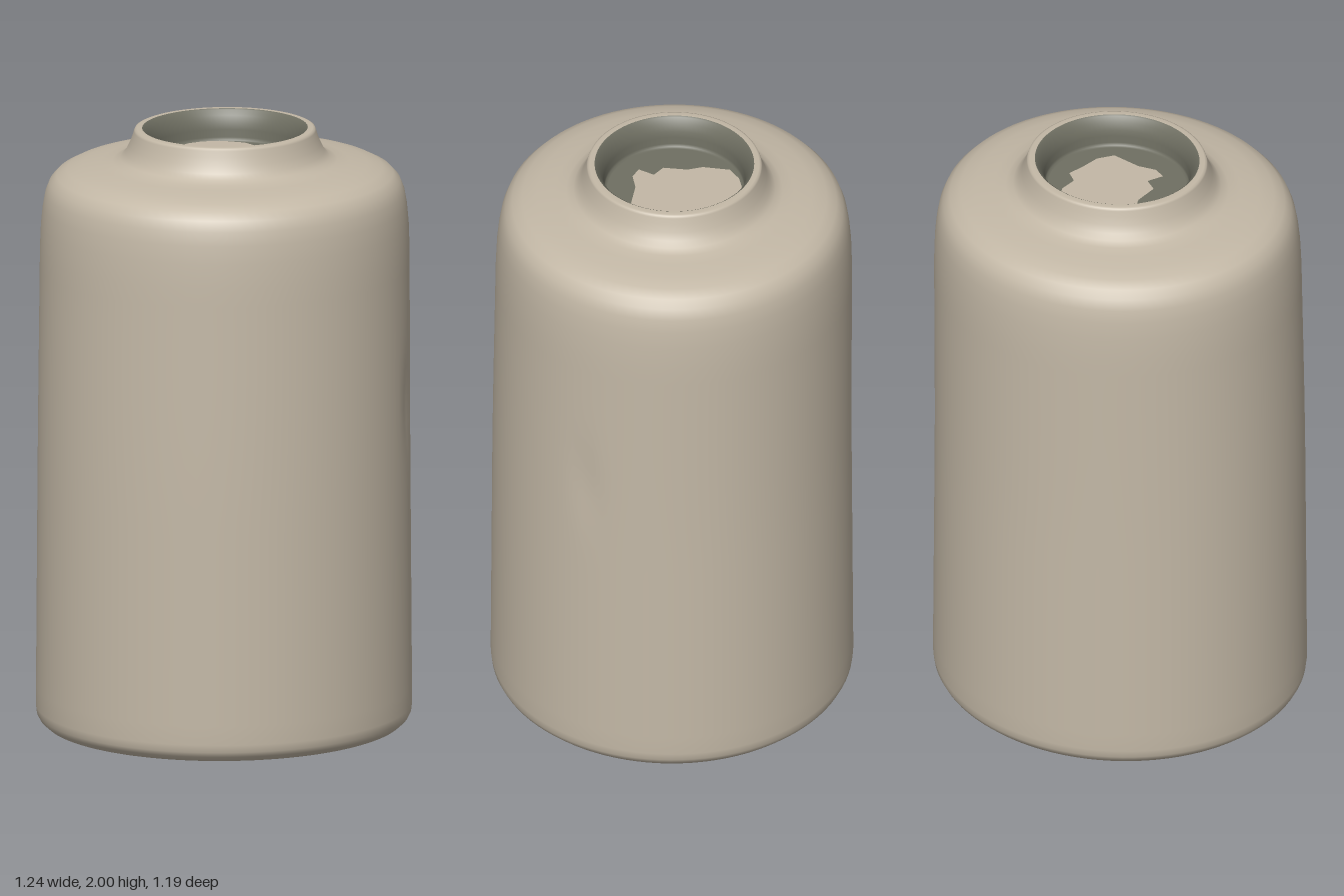
import * as THREE from 'three';
import { mergeVertices } from 'three/addons/utils/BufferGeometryUtils.js';

const clay = new THREE.MeshStandardMaterial({ color: 0xc3b8a6 });
clay.name = 'warm clay';
const grey = new THREE.MeshStandardMaterial({ color: 0x6f6f62 });
grey.name = 'olive grey';

// Slightly oval lathe whose top leans a little off centre, with a shallow dent in one side
function ovalLathe(profile, segments = 96) {
  const geo = new THREE.LatheGeometry(profile.map(([r, y]) => new THREE.Vector2(r, y)), segments);
  const pos = geo.attributes.position;
  for (let i = 0; i < pos.count; i++) {
    let x = pos.getX(i), z = pos.getZ(i);
    const y = pos.getY(i);
    const angle = Math.atan2(x, z);
    const dent = 0.015 * Math.exp(-(((angle - 1.08) / 0.07) ** 2) - ((y - 1.08) / 0.14) ** 2);
    const lean = THREE.MathUtils.smoothstep(y, 0.8, 1.95);
    x = x * (1 - dent) + 0.006 * lean;
    z = z * 0.96 * (1 - dent) - 0.008 * lean;
    pos.setXYZ(i, x, y, z);
  }
  geo.deleteAttribute('uv');
  geo.deleteAttribute('normal');
  const merged = mergeVertices(geo, 1e-5);
  merged.computeVertexNormals();
  return merged;
}

function addMesh(group, name, geometry, material) {
  const mesh = new THREE.Mesh(geometry, material);
  mesh.name = name;
  group.add(mesh);
}

export function createModel() {
  const group = new THREE.Group();
  group.name = 'jar';

  // Outer wall: recessed underside, foot, tall side, shoulder and neck
  const side = [];
  for (let i = 0; i <= 24; i++) {
    const t = i / 24;
    side.push([0.62 - 0.011 * t, 0.06 + 1.54 * t]);
  }
  addMesh(group, 'body', ovalLathe([
    [0, 0.03], [0.08, 0.028], [0.16, 0.018], [0.4, 0.016], [0.54, 0.014], [0.555, 0.01],
    [0.565, 0.001], [0.57, 0], [0.585, 0], [0.59, 0.002], [0.608, 0.018], [0.617, 0.035],
    ...side,
    [0.606, 1.68], [0.6, 1.74], [0.592, 1.785], [0.578, 1.82], [0.555, 1.845], [0.52, 1.863],
    [0.47, 1.876], [0.41, 1.884], [0.37, 1.891], [0.345, 1.902], [0.328, 1.92], [0.316, 1.945],
    [0.306, 1.97], [0.3, 1.99], [0.297, 1.997], [0.29, 2], [0.273, 2],
  ]), clay);

  // Grey lip and inside of the mouth, closed by a shallow floor
  addMesh(group, 'mouthInterior', ovalLathe([
    [0.273, 2], [0.268, 1.997], [0.255, 1.98], [0.245, 1.955], [0.242, 1.935],
    [0.24, 1.91], [0.238, 1.9], [0.23, 1.897], [0, 1.897],
  ]), grey);

  // Irregular pale patch on the floor of the mouth
  const outline = [
    [-0.1, -0.19], [-0.05, -0.22], [0, -0.23], [0.06, -0.22], [0.09, -0.2], [0.13, -0.17],
    [0.15, -0.12], [0.14, -0.06], [0.175, -0.03], [0.155, 0.03], [0.14, 0.09], [0.1, 0.135],
    [0, 0.12], [-0.06, 0.13], [-0.1, 0.11], [-0.07, 0.06], [-0.11, 0.03], [-0.1, -0.05],
    [-0.115, -0.1],
  ];
  const patch = new THREE.ShapeGeometry(
    new THREE.Shape(outline.map(([x, z]) => new THREE.Vector2(x, -z))));
  patch.rotateX(-Math.PI / 2).translate(0, 1.901, 0);
  addMesh(group, 'floorPatch', patch, clay);

  return group;
}
